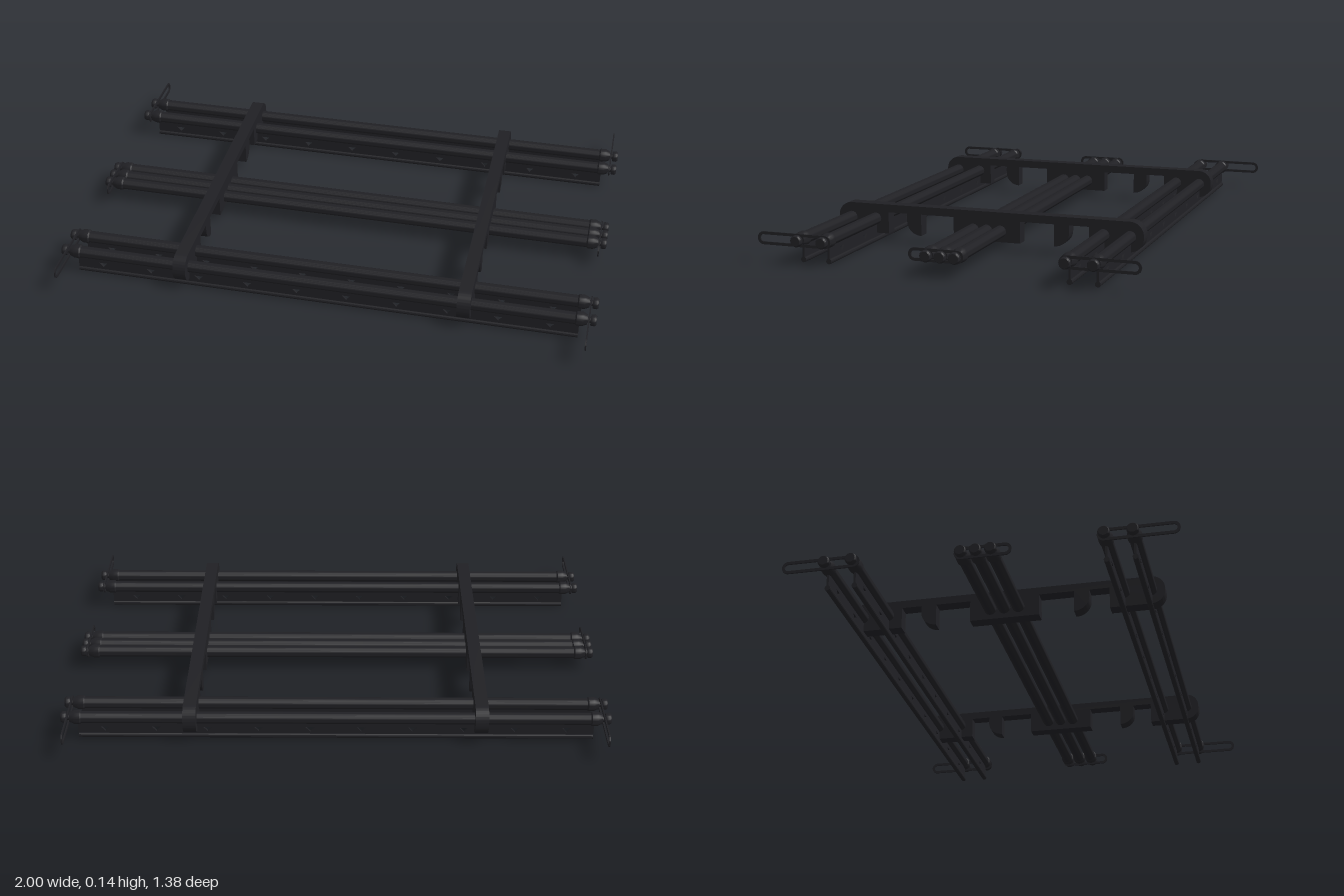
import * as THREE from 'three';
import { toCreasedNormals } from 'three/addons/utils/BufferGeometryUtils.js';

const material = new THREE.MeshStandardMaterial({ color: 0x202024 });

function part(name, geometry, x = 0, y = 0, z = 0) {
  const mesh = new THREE.Mesh(toCreasedNormals(geometry, 0.6), material);
  mesh.name = name;
  mesh.position.set(x, y, z);
  return mesh;
}

// Extrude a (z, y) profile along x, centred on its thickness
function extrudeAlongX(shape, width) {
  const g = new THREE.ExtrudeGeometry(shape, { depth: width, bevelEnabled: false, curveSegments: 12 });
  return g.translate(0, 0, -width / 2).rotateY(-Math.PI / 2);
}

// Stadium outline between two z values
function stadium(path, z0, z1, r) {
  path.absarc(z1 - r, 0, r, -Math.PI / 2, Math.PI / 2);
  path.absarc(z0 + r, 0, r, Math.PI / 2, Math.PI * 1.5);
  path.closePath();
  return path;
}

// Round tube with collars, necks and end discs
function tubeGeometry() {
  const half = [[0.022, 0.925], [0.026, 0.93], [0.026, 0.95], [0.018, 0.968],
    [0.011, 0.968], [0.011, 0.979], [0.019, 0.979], [0.021, 0.984], [0.021, 0.994], [0.017, 1], [0, 1]];
  const pts = half.map(([r, x]) => new THREE.Vector2(r, x));
  const mirrored = half.map(([r, x]) => new THREE.Vector2(r, -x)).reverse();
  return new THREE.LatheGeometry([...mirrored, ...pts], 24).rotateZ(-Math.PI / 2);
}

// Web below a tube, with a row of triangular holes
function webGeometry() {
  const s = new THREE.Shape();
  s.moveTo(-0.94, 0.012).lineTo(0.94, 0.012).lineTo(0.94, 0.07).lineTo(-0.94, 0.07).closePath();
  for (let i = 0; i < 10; i++) {
    const x = -0.842 + i * 0.187;
    const hole = new THREE.Path();
    hole.moveTo(x - 0.017, 0.047).lineTo(x + 0.017, 0.047).lineTo(x, 0.028).closePath();
    s.holes.push(hole);
  }
  return new THREE.ExtrudeGeometry(s, { depth: 0.008, bevelEnabled: false }).translate(0, 0, -0.004);
}

// Crossbar with rounded ends, clamping blocks and quarter-round hooks
function crossbarGeometry() {
  const top = 0.141, under = 0.112, low = 0.032, end = 0.585, r = 0.05;
  const s = new THREE.Shape();
  s.moveTo(-0.128, low).lineTo(0.128, low).lineTo(0.128, under);
  s.lineTo(0.256, under).lineTo(0.256, low);
  s.bezierCurveTo(0.29, low, 0.312, 0.058, 0.312, 0.085).lineTo(0.312, under);
  s.lineTo(0.386, under).lineTo(0.386, low);
  s.absarc(end - r, low + r, r, -Math.PI / 2, 0);
  s.absarc(end - r, top - r, r, 0, Math.PI / 2);
  s.absarc(-end + r, top - r, r, Math.PI / 2, Math.PI);
  s.absarc(-end + r, low + r, r, Math.PI, Math.PI * 1.5);
  s.lineTo(-0.386, low).lineTo(-0.386, under).lineTo(-0.312, under).lineTo(-0.312, 0.085);
  s.bezierCurveTo(-0.312, 0.058, -0.29, low, -0.256, low).lineTo(-0.256, under);
  s.lineTo(-0.128, under).closePath();
  return extrudeAlongX(s, 0.048);
}

// Flat oblong ring
function loopGeometry(z0, z1) {
  const s = stadium(new THREE.Shape(), z0, z1, 0.023);
  s.holes.push(stadium(new THREE.Path(), z0 + 0.01, z1 - 0.01, 0.013));
  return extrudeAlongX(s, 0.005);
}

export function createModel() {
  const model = new THREE.Group();
  model.name = 'tubeRack';

  // Two pairs of outer tubes, each with a web and a bottom bead
  for (const z of [-0.535, -0.438, 0.438, 0.535]) {
    const rail = new THREE.Group();
    rail.name = 'outerRail';
    rail.position.z = z;
    rail.add(
      part('outerTube', tubeGeometry(), 0, 0.086),
      part('web', webGeometry()),
      part('bead', new THREE.CylinderGeometry(0.01, 0.01, 1.88, 12).rotateZ(Math.PI / 2), 0, 0.01),
    );
    model.add(rail);
  }

  // Three tubes side by side in the middle
  for (const z of [-0.052, 0, 0.052]) model.add(part('middleTube', tubeGeometry(), 0, 0.071, z));

  for (const side of [-1, 1]) {
    model.add(part('crossbar', crossbarGeometry(), side * 0.529));
    // Loops hooked over the tube necks
    const x = side * 0.973;
    model.add(part('frontLoop', loopGeometry(0.412, 0.692), x, 0.085));
    model.add(part('backLoop', loopGeometry(-0.692, -0.412), x, 0.085));
    model.add(part('middleLoop', loopGeometry(-0.078, 0.122), x, 0.071));
  }
  return model;
}
